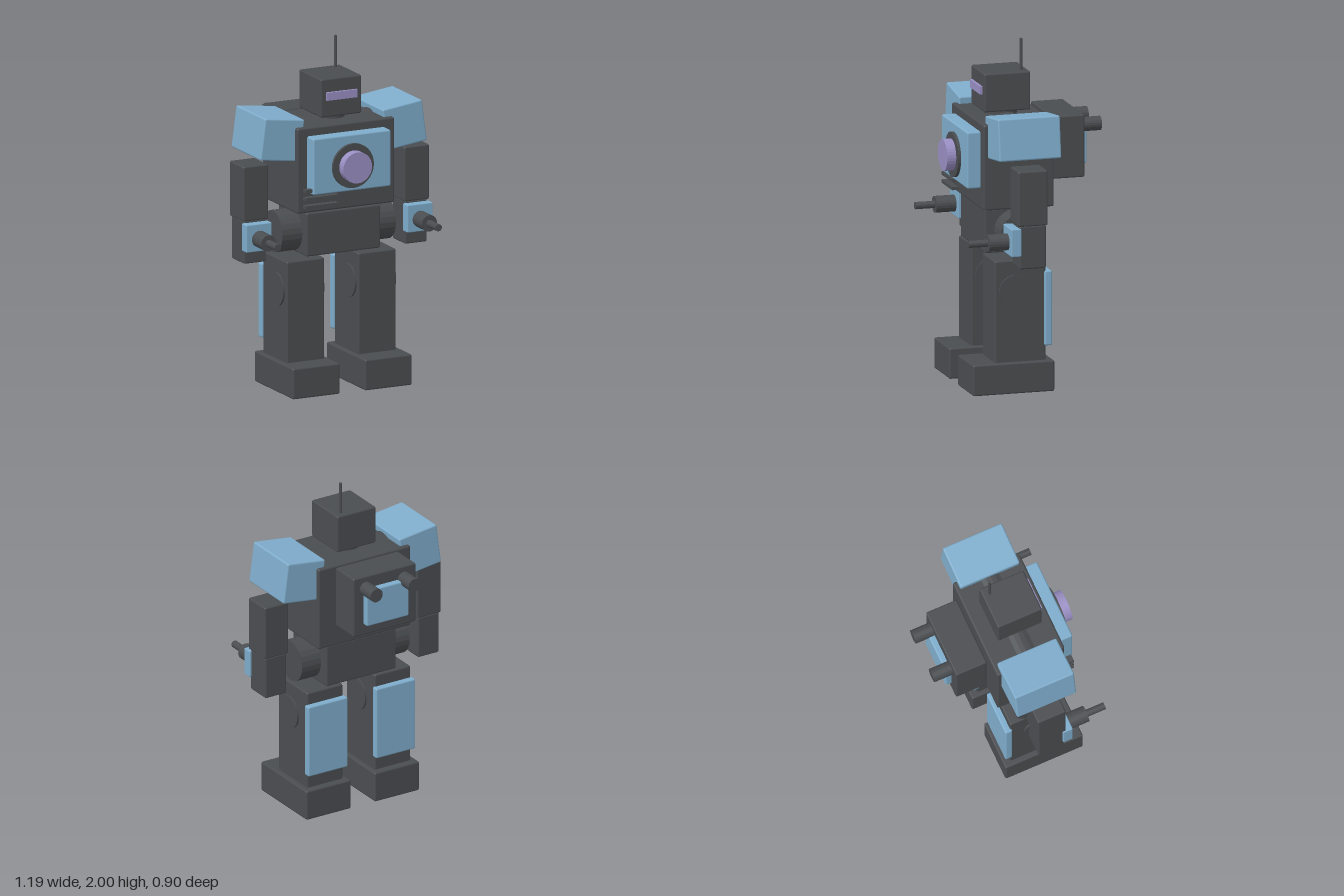
import * as THREE from 'three';
import { RoundedBoxGeometry } from 'three/addons/geometries/RoundedBoxGeometry.js';

const material = (name, color) => {
  const m = new THREE.MeshStandardMaterial({ color });
  m.name = name;
  return m;
};

export function createModel() {
  const dark = material('charcoal', 0x4a4d50);
  const blue = material('light blue', 0x7fadcc);
  const violet = material('violet', 0x9a8fc4);
  for (const m of [dark, blue, violet]) m.flatShading = false;

  const add = (parent, name, geometry, mat) => {
    const mesh = new THREE.Mesh(geometry, mat);
    mesh.name = name;
    parent.add(mesh);
    return mesh;
  };

  // Softly bevelled box given by its extents on each axis
  const box = (parent, name, mat, [x0, x1], [y0, y1], [z0, z1], bevel = 0.01) => {
    const size = [x1 - x0, y1 - y0, z1 - z0];
    const geometry = bevel ? new RoundedBoxGeometry(...size, 2, bevel) : new THREE.BoxGeometry(...size);
    const mesh = add(parent, name, geometry, mat);
    mesh.position.set((x0 + x1) / 2, (y0 + y1) / 2, (z0 + z1) / 2);
    return mesh;
  };

  // Cylinder along an axis, from one end to the other
  const rod = (parent, name, mat, axis, from, to, radius, center, sides = 24) => {
    const geometry = new THREE.CylinderGeometry(radius, radius, to - from, sides);
    if (axis === 'x') geometry.rotateZ(Math.PI / 2);
    if (axis === 'z') geometry.rotateX(Math.PI / 2);
    const mesh = add(parent, name, geometry, mat);
    mesh.position.set(...center);
    mesh.position[axis] = (from + to) / 2;
    return mesh;
  };

  const robot = new THREE.Group();
  robot.name = 'robot';
  const group = (name) => {
    const g = new THREE.Group();
    g.name = name;
    robot.add(g);
    return g;
  };

  // Head
  const head = group('head');
  box(head, 'skull', dark, [-0.13, 0.13], [1.59, 1.815], [-0.04, 0.235]);
  box(head, 'visor', violet, [-0.097, 0.097], [1.69, 1.737], [0.22, 0.25], 0);
  rod(head, 'neck', dark, 'y', 1.54, 1.6, 0.085, [0, 0, 0.09]);
  rod(head, 'antenna', dark, 'y', 1.8, 2, 0.009, [0.082, 0, 0.003], 12);

  // Torso, chest plate with round lens, and vent slats
  const torso = group('torso');
  box(torso, 'chest', dark, [-0.31, 0.31], [1.06, 1.56], [-0.125, 0.295], 0.012);
  box(torso, 'chestPlate', blue, [-0.247, 0.247], [1.18, 1.51], [0.285, 0.373]);
  rod(torso, 'lensRing', dark, 'z', 0.36, 0.39, 0.13, [0, 1.33, 0], 32);
  rod(torso, 'lens', violet, 'z', 0.37, 0.443, 0.091, [0, 1.33, 0], 32);
  for (let i = 0; i < 3; i++) {
    const y = 1.11 + i * 0.047;
    box(torso, 'ventSlat', dark, [-0.29, -0.08], [y - 0.009, y + 0.009], [0.325, 0.362], 0);
  }
  rod(torso, 'shoulderAxle', dark, 'x', -0.375, 0.375, 0.11, [0, 1.465, 0.085]);

  // Waist and hips
  const hips = group('hips');
  rod(hips, 'waist', dark, 'y', 1.03, 1.08, 0.145, [0, 0, 0.085]);
  box(hips, 'pelvis', dark, [-0.235, 0.235], [0.795, 1.05], [-0.09, 0.265]);
  rod(hips, 'hipJoint', dark, 'x', -0.362, 0.362, 0.121, [0, 0.922, 0.09]);

  // Backpack with twin tubes
  const pack = group('backpack');
  box(pack, 'packBody', dark, [-0.21, 0.21], [1.195, 1.56], [-0.337, -0.145]);
  box(pack, 'packPlate', blue, [-0.142, 0.142], [1.26, 1.485], [-0.372, -0.325]);
  for (const s of [1, -1]) rod(pack, 'packTube', dark, 'z', -0.453, -0.27, 0.041, [s * 0.128, 1.485, 0], 20);

  // Arms and legs, mirrored
  for (const s of [1, -1]) {
    const side = s > 0 ? 'left' : 'right';
    const span = (a, b) => (s > 0 ? [a, b] : [-b, -a]);

    const arm = group(side + 'Arm');
    const pad = box(arm, 'shoulderPad', blue, span(0.263, 0.517), [1.375, 1.619], [-0.101, 0.268]);
    pad.rotation.z = s * 0.13;
    box(arm, 'upperArm', dark, span(0.433, 0.593), [1.02, 1.342], [0, 0.175]);
    box(arm, 'forearm', dark, span(0.442, 0.584), [0.77, 1.022], [0.007, 0.166]);
    box(arm, 'wristPlate', blue, span(0.432, 0.595), [0.848, 1.01], [0.157, 0.217], 0.006);
    rod(arm, 'barrelBase', dark, 'z', 0.2, 0.335, 0.048, [s * 0.512, 0.922, 0], 20);
    rod(arm, 'barrelTip', dark, 'z', 0.32, 0.45, 0.021, [s * 0.512, 0.922, 0], 16);

    const leg = group(side + 'Leg');
    box(leg, 'foot', dark, span(0.08, 0.38), [0, 0.18], [-0.106, 0.378]);
    box(leg, 'shin', dark, span(0.107, 0.349), [0.17, 0.772], [-0.063, 0.24]);
    rod(leg, 'kneeDisc', dark, 'x', ...span(0.097, 0.36), 0.097, [0, 0.59, 0.12], 32);
    box(leg, 'calfPlate', blue, span(0.095, 0.361), [0.263, 0.7], [-0.098, -0.053]);
  }

  // Facet the round parts
  robot.traverse((o) => {
    if (o.isMesh && o.geometry.type === 'CylinderGeometry') {
      o.geometry = o.geometry.toNonIndexed();
      o.geometry.computeVertexNormals();
    }
  });
  return robot;
}
